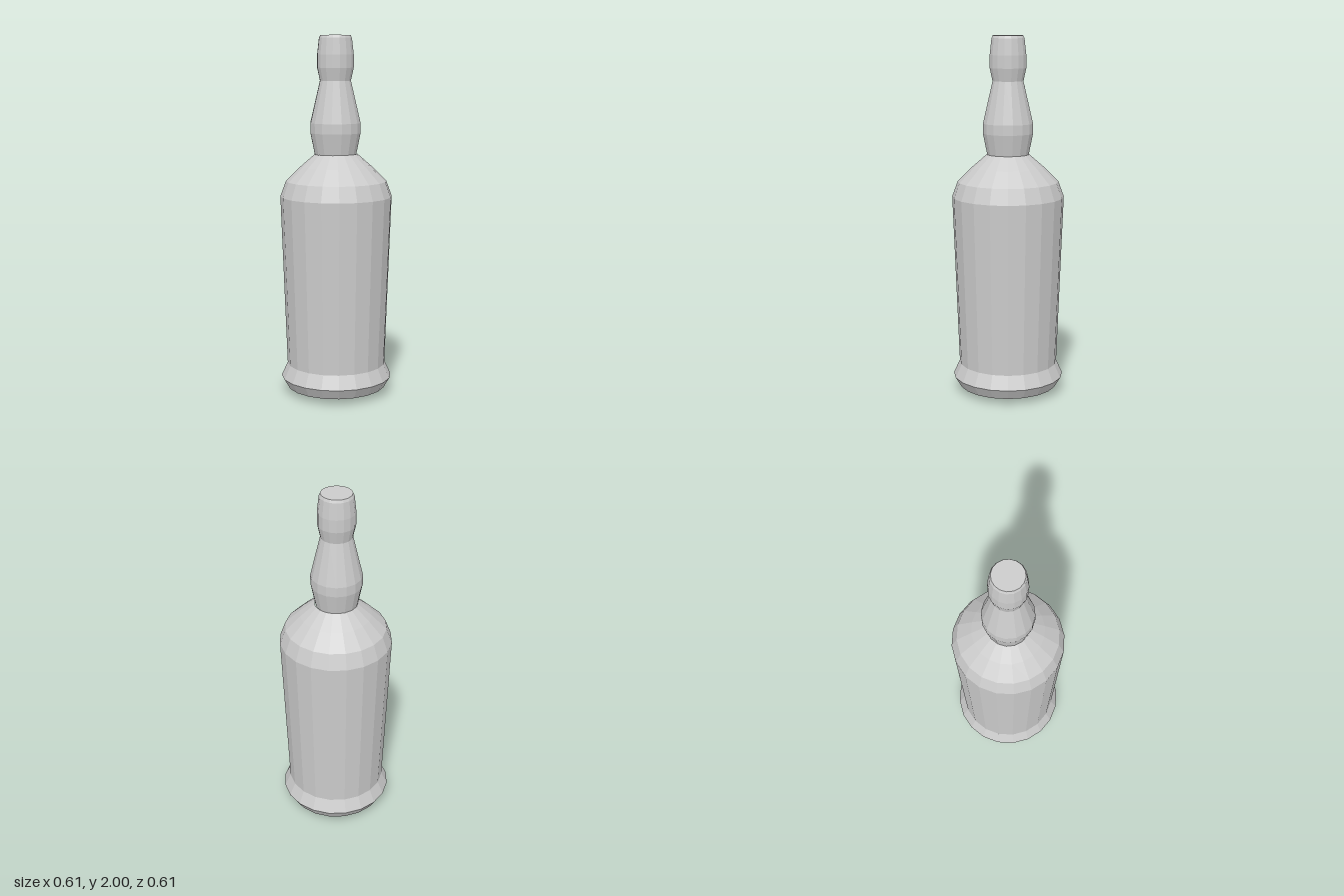
import * as THREE from 'three';

const material = new THREE.MeshStandardMaterial({ color: 0xcccccc, flatShading: true });

// Faceted turned part; profile is [radius across flats, height], bottom to top.
// The half-step start puts flat facets on the front, back and sides.
function turned(name, profile, sides) {
  const k = 1 / Math.cos(Math.PI / sides);
  const points = profile.map(([r, y]) => new THREE.Vector2(r * k, y));
  const mesh = new THREE.Mesh(new THREE.LatheGeometry(points, sides, Math.PI / sides), material);
  mesh.name = name;
  return mesh;
}

export function createModel() {
  const bottle = new THREE.Group();
  bottle.name = 'bottle';

  // Flared foot with a chamfered underside
  const base = turned('base', [
    [0, 0], [0.16, 0.005], [0.272, 0.037], [0.306, 0.095], [0.272, 0.17],
  ], 20);

  // Slightly widening body and sloping shoulder
  const body = turned('body', [
    [0.272, 0.17], [0.306, 1.12], [0.275, 1.205], [0.195, 1.285], [0.115, 1.355],
  ], 20);

  // Bulbous neck
  const neck = turned('neck', [
    [0.113, 1.35], [0.137, 1.47], [0.137, 1.525], [0.084, 1.755],
  ], 16);

  // Rounded cap with a flat top
  const cap = turned('cap', [
    [0.084, 1.755], [0.099, 1.825], [0.099, 1.895], [0.089, 1.985], [0.082, 2], [0, 2],
  ], 16);

  // Neck and cap sit a hair off the body's axis
  for (const part of [neck, cap]) part.position.set(-0.003, 0, -0.003);

  bottle.add(base, body, neck, cap);
  return bottle;
}
